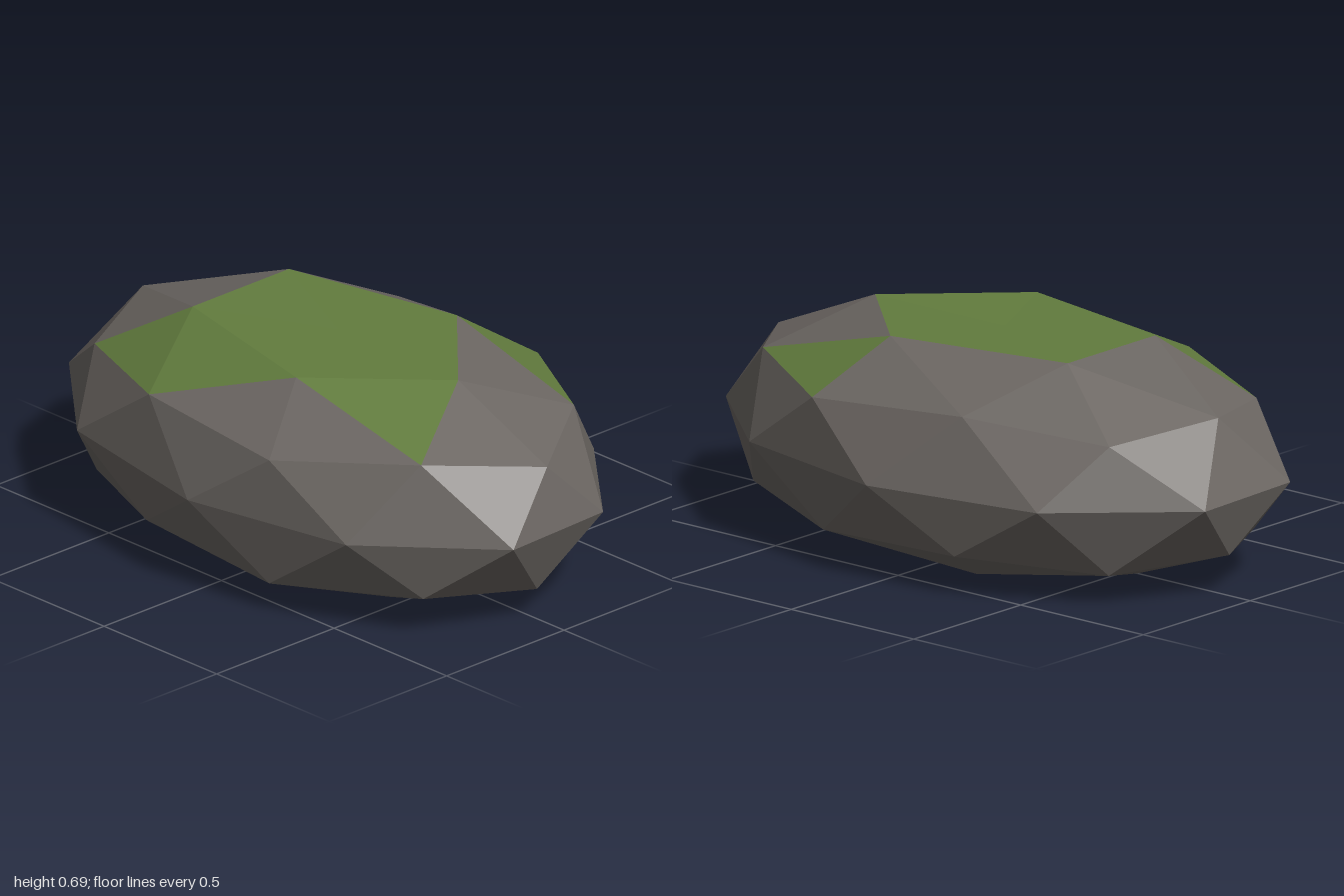
import * as THREE from 'three';

// Rings of corners from top to bottom, each listed around the boulder from +x towards +z
const TOP = [0, 0.69, 0];
const crown = [[0.53, 0.69, 0], [0.17, 0.69, 0.345], [-0.43, 0.695, 0.21], [-0.43, 0.695, -0.2], [0.18, 0.695, -0.33]];
const shoulder = [[0.925, 0.525, 0], [0.29, 0.52, 0.575], [-0.72, 0.52, 0.35], [-0.74, 0.52, -0.36], [0.29, 0.53, -0.57]];
const shoulderMid = [[0.73, 0.575, 0.35], [-0.27, 0.555, 0.55], [-0.87, 0.56, 0], [-0.27, 0.56, -0.51], [0.7, 0.56, -0.33]];
const girdle = [
  [1, 0.335, 0.215], [0.6, 0.325, 0.545], [0, 0.315, 0.645], [-0.6, 0.325, 0.54], [-0.98, 0.33, 0.21],
  [-1, 0.33, -0.21], [-0.61, 0.325, -0.55], [0, 0.32, -0.65], [0.59, 0.32, -0.52], [0.965, 0.325, -0.2],
];
const foot = [[0.75, 0.135, 0.36], [-0.27, 0.135, 0.56], [-0.915, 0.13, 0], [-0.29, 0.13, -0.57], [0.73, 0.13, -0.34]];
const footMid = [[0.88, 0.1, 0], [0.28, 0.1, 0.565], [-0.71, 0.1, 0.35], [-0.72, 0.1, -0.34], [0.28, 0.1, -0.53]];
const base = [[0.45, 0, 0.21], [-0.17, 0, 0.355], [-0.54, 0, 0], [-0.17, 0, -0.33], [0.45, 0, -0.21]];
const BOTTOM = [0, 0, 0];

// Flat facets, each wound so that it faces away from the boulder's middle
function facetMesh(name, facets, material) {
  const middle = new THREE.Vector3(0, 0.33, 0);
  const points = [];
  for (const facet of facets) {
    const [a, b, c] = facet.map((p) => new THREE.Vector3(...p));
    const normal = b.clone().sub(a).cross(c.clone().sub(a));
    const outward = a.clone().add(b).add(c).divideScalar(3).sub(middle);
    points.push(...(normal.dot(outward) > 0 ? [a, b, c] : [a, c, b]));
  }
  const geometry = new THREE.BufferGeometry().setFromPoints(points);
  geometry.computeVertexNormals();
  const mesh = new THREE.Mesh(geometry, material);
  mesh.name = name;
  return mesh;
}

export function createModel() {
  const stone = new THREE.MeshStandardMaterial({ color: 0x6b6662, flatShading: true });
  stone.name = 'stone grey';
  const moss = new THREE.MeshStandardMaterial({ color: 0x627c3e, flatShading: true });
  moss.name = 'moss green';

  const rock = [];
  const mossy = [];
  for (let k = 0; k < 5; k++) {
    const n = (k + 1) % 5;
    const e0 = girdle[2 * k], e1 = girdle[2 * k + 1], e2 = girdle[(2 * k + 2) % 10];

    // Flat crown, all moss
    mossy.push([TOP, crown[k], crown[n]]);

    // Sloping shoulder, with moss spilling over a few facets
    (k === 4 ? mossy : rock).push([crown[k], shoulder[k], shoulderMid[k]]);
    (k === 1 ? mossy : rock).push([crown[n], shoulderMid[k], shoulder[n]]);
    (k < 2 ? mossy : rock).push([crown[k], shoulderMid[k], crown[n]]);

    // Sides above and below the girdle
    rock.push(
      [shoulder[k], e0, shoulderMid[k]], [shoulderMid[k], e0, e1],
      [shoulderMid[k], e1, shoulder[n]], [shoulder[n], e1, e2],
      [e0, foot[k], e1], [foot[k], footMid[n], e1],
      [footMid[n], e2, e1], [footMid[n], foot[n], e2],
    );

    // Underside, flat where it rests on the ground
    rock.push(
      [foot[k], base[k], footMid[n]], [footMid[n], base[n], foot[n]],
      [footMid[n], base[k], base[n]], [BOTTOM, base[k], base[n]],
    );
  }

  const group = new THREE.Group();
  group.name = 'mossyBoulder';
  group.add(facetMesh('boulder', rock, stone), facetMesh('mossPatch', mossy, moss));
  return group;
}
